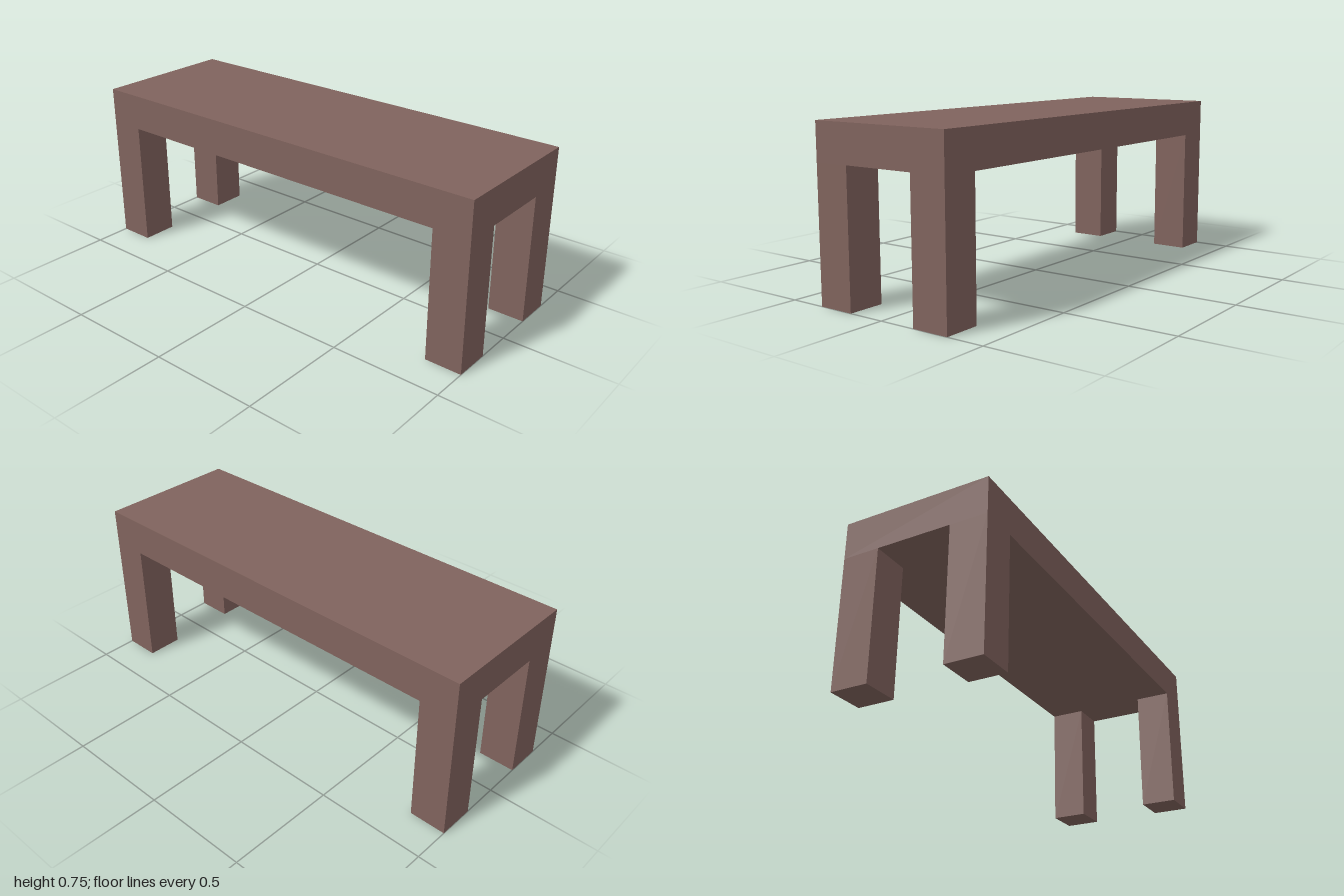
import * as THREE from 'three';

const LENGTH = 2, DEPTH = 0.667, HEIGHT = 0.75;
const LEG = 0.1665, LEG_HEIGHT = 0.585;

export function createModel() {
  const bench = new THREE.Group();
  bench.name = 'bench';
  const wood = new THREE.MeshStandardMaterial({ color: 0x80635d });

  // Solid slab seat
  const thickness = HEIGHT - LEG_HEIGHT;
  const seat = new THREE.Mesh(new THREE.BoxGeometry(LENGTH, thickness, DEPTH), wood);
  seat.name = 'seat';
  seat.position.y = LEG_HEIGHT + thickness / 2;
  bench.add(seat);

  // Square legs, flush with the corners of the seat
  const legGeometry = new THREE.BoxGeometry(LEG, LEG_HEIGHT, LEG);
  for (const [sideName, sx] of [['Left', 1], ['Right', -1]]) {
    for (const [endName, sz] of [['front', 1], ['back', -1]]) {
      const leg = new THREE.Mesh(legGeometry, wood);
      leg.name = `${endName}${sideName}Leg`;
      leg.position.set(sx * (LENGTH - LEG) / 2, LEG_HEIGHT / 2, sz * (DEPTH - LEG) / 2);
      bench.add(leg);
    }
  }
  return bench;
}
